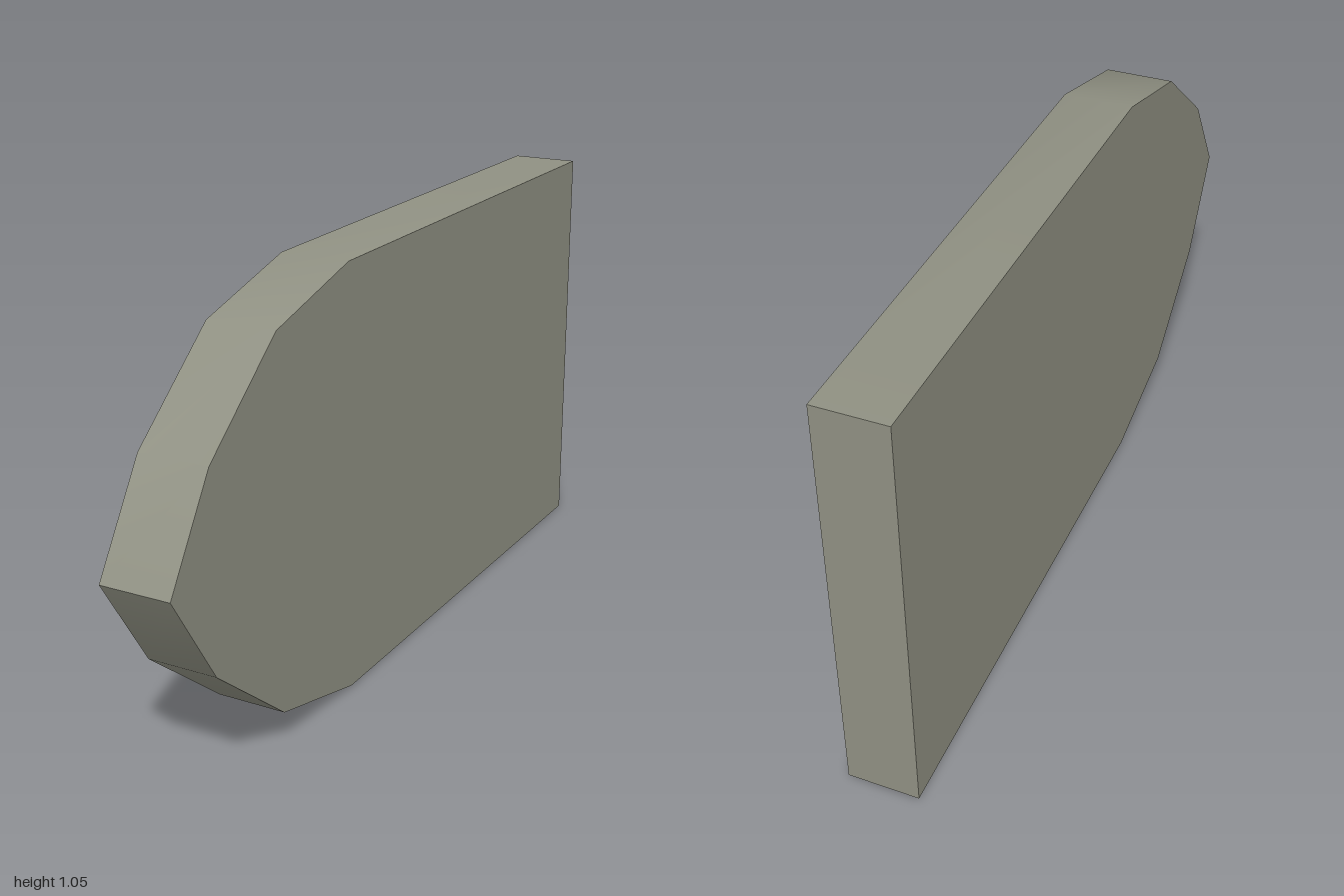
import * as THREE from 'three';
import { toCreasedNormals } from 'three/addons/utils/BufferGeometryUtils.js';

const THICKNESS = 0.172;
const HEIGHT = 1.052;

export function createModel() {
  const group = new THREE.Group();
  group.name = 'pointedPanel';

  const greyOlive = new THREE.MeshStandardMaterial({ color: 0x8f9082 });
  greyOlive.name = 'greyOlive';

  // Upper half of the side outline as [z, height above the middle], mirrored for the lower half
  const half = [[-1, HEIGHT / 2], [0.29, 0.522], [0.594, 0.443], [0.852, 0.233]];
  const middle = HEIGHT / 2;
  const outline = [
    ...half.map(([z, h]) => new THREE.Vector2(z, middle - h)),
    new THREE.Vector2(1, middle),
    ...[...half].reverse().map(([z, h]) => new THREE.Vector2(z, middle + h)),
  ];

  // Flat slab with a softly shaded rim and sharp tip, back corners and side edges
  let geometry = new THREE.ExtrudeGeometry(new THREE.Shape(outline), {
    depth: THICKNESS, bevelEnabled: false,
  });
  geometry.translate(0, 0, -THICKNESS / 2);
  geometry.rotateY(-Math.PI / 2);
  geometry = toCreasedNormals(geometry, 0.6);

  const panel = new THREE.Mesh(geometry, greyOlive);
  panel.name = 'panel';
  group.add(panel);
  return group;
}
